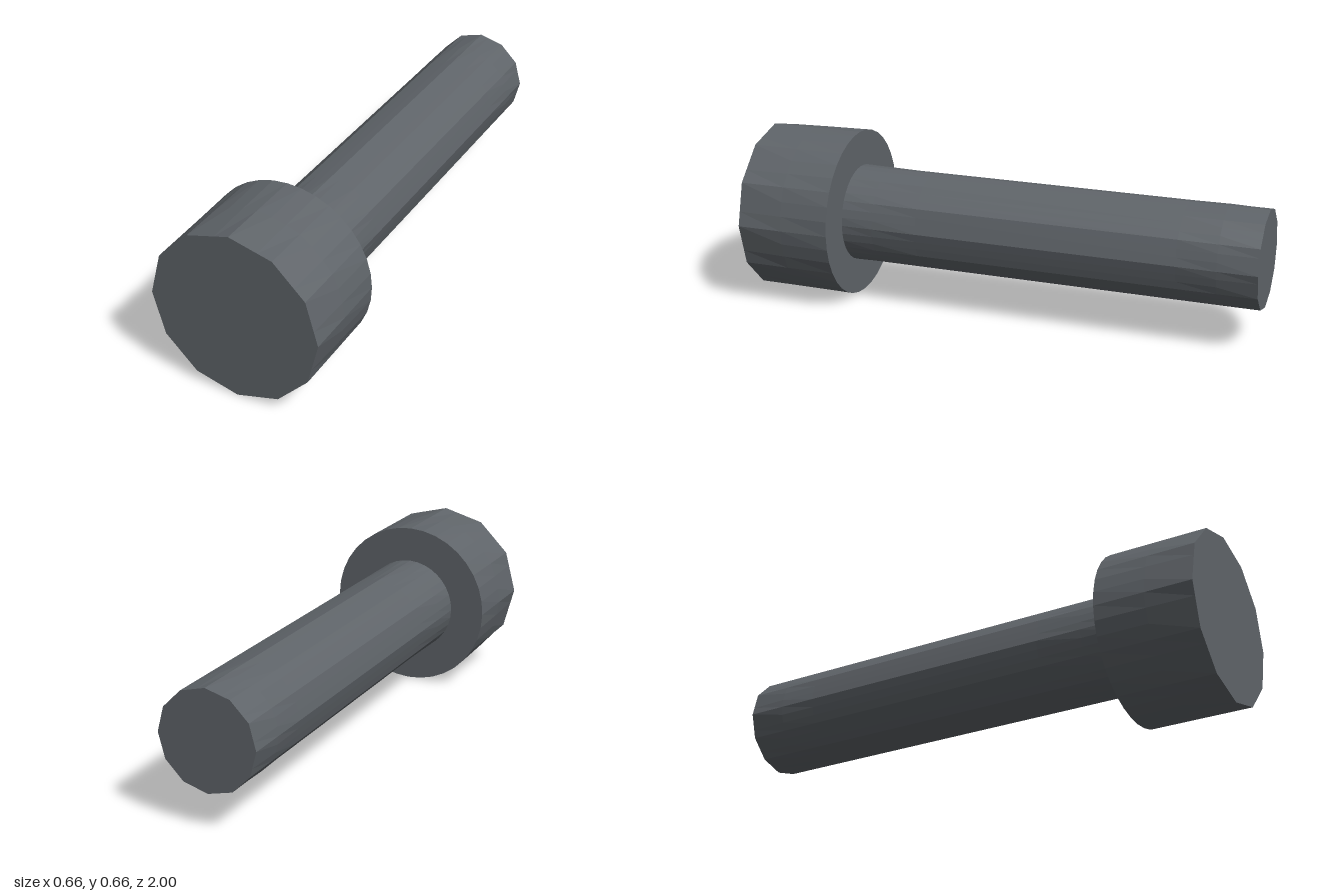
import * as THREE from 'three';

const SEGMENTS = 36; // points around each section
const SIDES = 12; // flats where a section is fully faceted
const AXIS_Y = 0.329;

// Distance to the outline: a 12-sided polygon (round = 0) up to a circle (round = 1)
function outline(angle, radius, round) {
  const step = (2 * Math.PI) / SIDES;
  const local = (angle % step) - step / 2;
  const polygon = (radius * Math.cos(step / 2)) / Math.cos(local);
  return THREE.MathUtils.lerp(polygon, radius, round);
}

// Closed solid along z; sections run front to back as [z, roundness]
function facetedRod(name, radius, sections, material) {
  const points = [];
  const faces = [];
  for (const [z, round] of sections) {
    for (let j = 0; j < SEGMENTS; j++) {
      const a = (j / SEGMENTS) * Math.PI * 2;
      const r = outline(a + 1e-6, radius, round);
      points.push(r * Math.cos(a), r * Math.sin(a), z);
    }
  }
  const last = sections.length - 1;
  const frontCentre = points.length / 3;
  points.push(0, 0, sections[0][0], 0, 0, sections[last][0]);

  for (let j = 0; j < SEGMENTS; j++) {
    const k = (j + 1) % SEGMENTS;
    for (let i = 0; i < last; i++) {
      const near = i * SEGMENTS;
      const far = near + SEGMENTS;
      faces.push(near + j, far + j, near + k, near + k, far + j, far + k);
    }
    // End caps
    const end = last * SEGMENTS;
    faces.push(frontCentre, j, k, frontCentre + 1, end + k, end + j);
  }

  const geometry = new THREE.BufferGeometry();
  geometry.setAttribute('position', new THREE.Float32BufferAttribute(points, 3));
  geometry.setIndex(faces);
  geometry.computeVertexNormals();
  const mesh = new THREE.Mesh(geometry, material);
  mesh.name = name;
  mesh.position.y = AXIS_Y;
  return mesh;
}

export function createModel() {
  const group = new THREE.Group();
  group.name = 'bolt';
  const steel = new THREE.MeshStandardMaterial({ color: 0x5f6469, flatShading: true });

  // Head: twelve-sided front face easing into a round shoulder
  group.add(facetedRod('head', 0.329, [[1, 0], [0.82, 0.6], [0.625, 1]], steel));

  // Shank: round at the head, faceted along its length and at the tip
  group.add(facetedRod('shank', 0.19, [
    [0.64, 1], [0.625, 1], [0.5, 0.6], [0.32, 0.15],
    [-0.7, 0.15], [-0.85, 0.6], [-1, 0],
  ], steel));

  return group;
}
